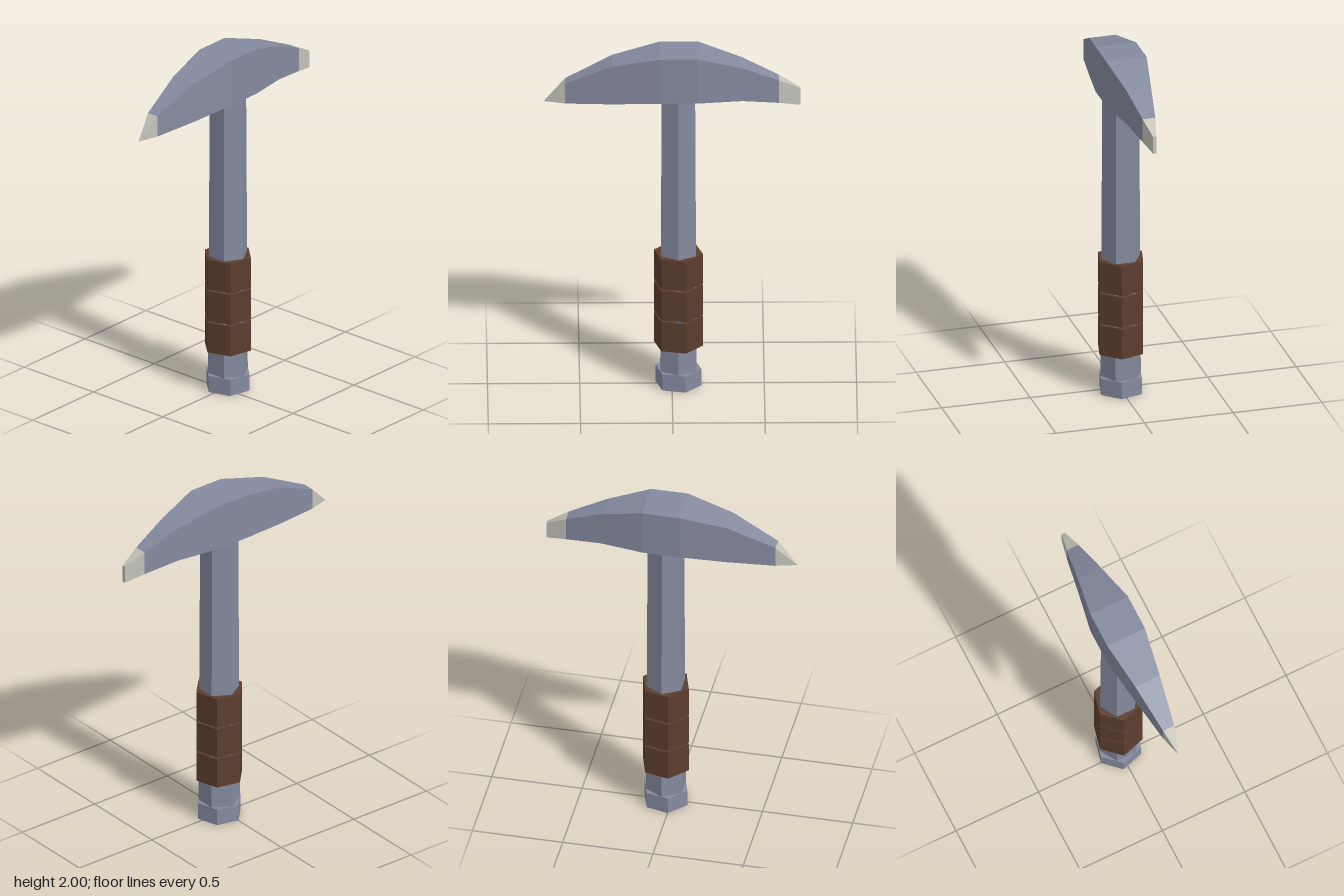
import * as THREE from 'three';

const material = (name, color) => {
  const m = new THREE.MeshStandardMaterial({ color, flatShading: true });
  m.name = name;
  return m;
};

// Lofts four-cornered sections [x, bottom, top, halfWidth] along x, with end caps.
function loft(sections) {
  const pos = [];
  const quad = (a, b, c, d) => pos.push(...a, ...b, ...c, ...a, ...c, ...d);
  const rings = sections.map(([x, y0, y1, w]) => [[x, y0, -w], [x, y0, w], [x, y1, w], [x, y1, -w]]);
  for (let i = 0; i < rings.length - 1; i++) {
    for (let j = 0; j < 4; j++) {
      const k = (j + 1) % 4;
      quad(rings[i][j], rings[i + 1][j], rings[i + 1][k], rings[i][k]);
    }
  }
  quad(...rings[0]);
  quad(...rings[rings.length - 1].slice().reverse());
  const g = new THREE.BufferGeometry();
  g.setAttribute('position', new THREE.Float32BufferAttribute(pos, 3));
  g.computeVertexNormals();
  return g;
}

export function createModel() {
  const group = new THREE.Group();
  group.name = 'pickHammer';
  const steel = material('steel', 0x858ba0);
  const leather = material('leather', 0x5c3d2e);
  const edge = material('sharpenedEdge', 0xc4c3ba);
  const axisX = 0.035, twist = 0.295;

  const add = (name, geometry, mat) => {
    const mesh = new THREE.Mesh(geometry, mat);
    mesh.name = name;
    group.add(mesh);
    return mesh;
  };
  // Six-sided bar between two heights
  const hexBar = (name, rTop, rBottom, y0, y1, turn, mat) => {
    const mesh = add(name, new THREE.CylinderGeometry(rTop, rBottom, y1 - y0, 6), mat);
    mesh.position.set(axisX, (y0 + y1) / 2, 0);
    mesh.rotation.y = turn;
  };

  // Handle: tapered shaft, pommel and three grip wraps
  hexBar('shaft', 0.104, 0.114, 0.002, 1.76, 0, steel);
  hexBar('pommel', 0.128, 0.128, 0, 0.097, twist, steel);
  for (let i = 0; i < 3; i++) {
    const y = 0.239 + i * 0.187;
    hexBar('gripWrap' + (i + 1), 0.137, 0.137, y, y + 0.176, twist, leather);
  }

  // Head: curved body between a pointed pick and a narrow chisel
  const pickEnd = [-0.58, 1.7, 1.82, 0.034];
  const chiselEnd = [0.58, 1.7, 1.835, 0.036];
  const head = [
    add('headBody', loft([
      pickEnd,
      [-0.325, 1.713, 1.94, 0.074],
      [-0.065, 1.735, 2.0, 0.114],
      [0.14, 1.735, 2.0, 0.114],
      [0.38, 1.728, 1.925, 0.07],
      chiselEnd,
    ]), steel),
    add('pickTip', loft([[-0.695, 1.699, 1.7, 0.0005], pickEnd]), edge),
    add('chiselTip', loft([chiselEnd, [0.695, 1.675, 1.775, 0.009]]), edge),
  ];
  head.forEach((m) => { m.position.z = -0.002; });

  return group;
}
